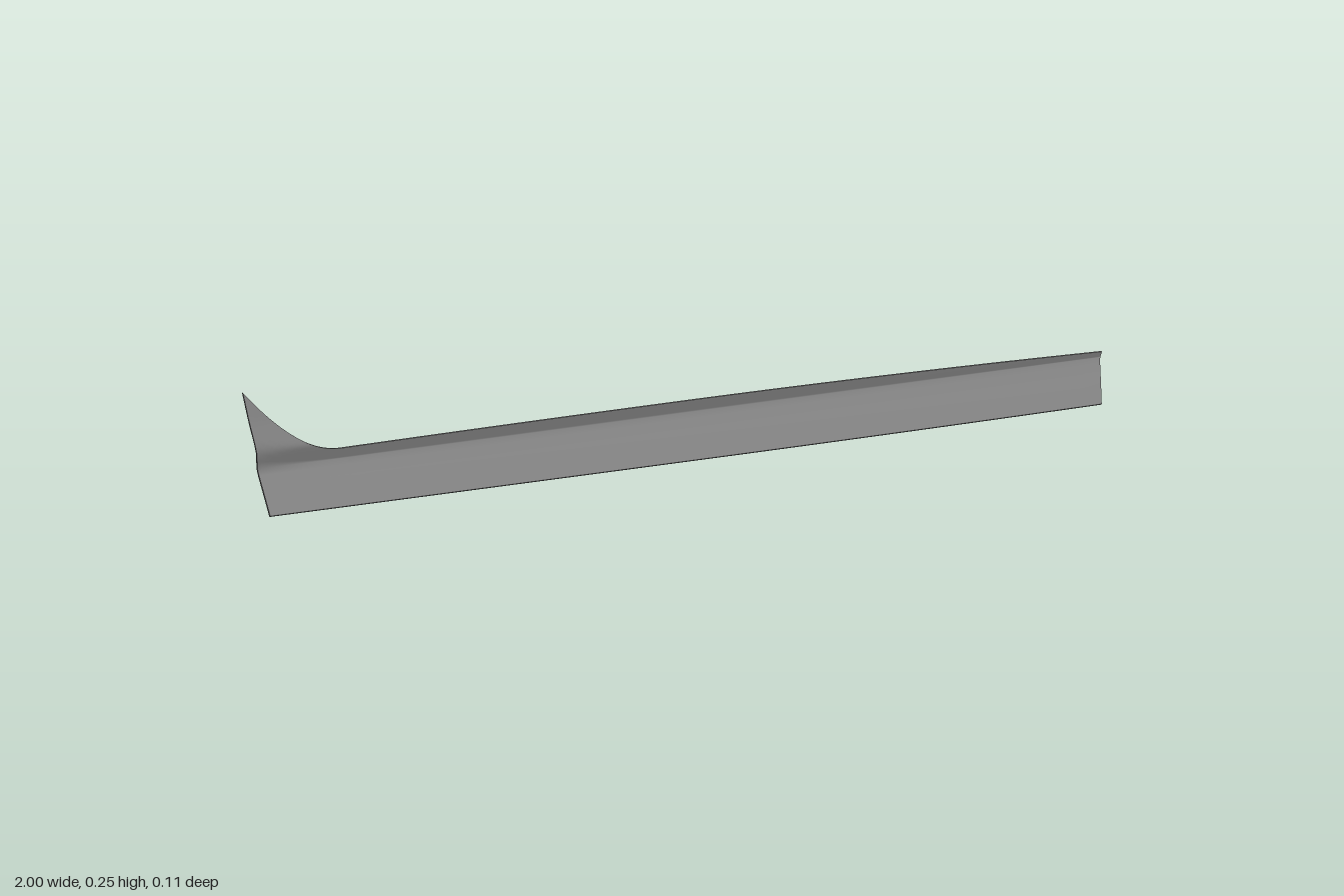
import * as THREE from 'three';

const THICK = 0.0055;
const { lerp, clamp, smoothstep } = THREE.MathUtils;

// Cross-section of the outer skin as [y, z]
const PROFILE = [
  [0, 0.0585], [0.04, 0.0285], [0.083, -0.005], [0.09, -0.0085], [0.115, -0.0055],
  [0.128, -0.004], [0.135, -0.0055], [0.19, -0.03], [0.25, -0.05],
];
function zAt(y) {
  let i = 0;
  while (i < PROFILE.length - 2 && y > PROFILE[i + 1][0]) i++;
  const [y0, z0] = PROFILE[i], [y1, z1] = PROFILE[i + 1];
  return lerp(z0, z1, (y - y0) / (y1 - y0));
}

// Outline: upswept fin at one end, gently crowned top, slanted other end
const topY = (x) => 0.117 - (x > 0 ? 0.015 : 0.006) * x * x
  + 0.139 * clamp((-0.8 - x) / 0.2, 0, 1) ** 2;
const bottomY = (x) => 0.003 + 0.003 * Math.max(x, 0) ** 2;
const leftX = (y) => -0.985 - 0.015 * clamp((y - 0.09) / 0.16, 0, 1);
const rightX = (y) => 0.967 + 0.3 * Math.min(y, 0.102);

const LOWER = [0, 0.03, 0.06, 0.078, 0.09];
const UPPER = 9, COLS = 64;

function pointAt(i, j) {
  // Columns crowd toward the fin
  const x = i <= 24 ? -1 + 0.22 * i / 24 : lerp(-0.78, 1, (i - 24) / (COLS - 24));
  const last = LOWER.length - 1;
  const y = j === 0 ? bottomY(x)
    : j <= last ? LOWER[j]
    : lerp(LOWER[last], topY(x), (j - last) / UPPER);
  return new THREE.Vector3(
    lerp(leftX(y), rightX(y), (x + 1) / 2), y, zAt(y) - 0.002 * x * x);
}

// Matching inner point; the sloping lower panel is offset square to its face
function back(p) {
  const slope = 1 - smoothstep(p.y, 0.075, 0.1);
  return new THREE.Vector3(p.x, p.y - 0.55 * THICK * slope, p.z - THICK * (1 - 0.17 * slope));
}

function toGeometry(points, index) {
  const g = new THREE.BufferGeometry().setFromPoints(points);
  g.setIndex(index);
  g.computeVertexNormals();
  return g;
}

export function createModel() {
  const group = new THREE.Group();
  group.name = 'sideSkirt';
  const material = new THREE.MeshStandardMaterial({ color: 0x848484 });
  const rows = LOWER.length + UPPER;
  const add = (name, geometry) => {
    const mesh = new THREE.Mesh(geometry, material);
    mesh.name = name;
    group.add(mesh);
  };

  // Outer and inner skins
  const front = [], frontIndex = [], backIndex = [];
  for (let i = 0; i <= COLS; i++) {
    for (let j = 0; j < rows; j++) {
      front.push(pointAt(i, j));
      if (i === COLS || j === rows - 1) continue;
      const a = i * rows + j, b = a + rows;
      frontIndex.push(a, b, b + 1, a, b + 1, a + 1);
      backIndex.push(a, b + 1, b, a, a + 1, b + 1);
    }
  }
  add('outerSkin', toGeometry(front, frontIndex));
  add('innerSkin', toGeometry(front.map(back), backIndex));

  // Thin edge closing the two skins all the way round
  const loop = [];
  for (let i = 0; i < COLS; i++) loop.push(pointAt(i, 0));
  for (let j = 0; j < rows - 1; j++) loop.push(pointAt(COLS, j));
  for (let i = COLS; i > 0; i--) loop.push(pointAt(i, rows - 1));
  for (let j = rows - 1; j > 0; j--) loop.push(pointAt(0, j));
  const rim = [], rimIndex = [];
  loop.forEach((p, k) => {
    const q = loop[(k + 1) % loop.length], n = rim.length;
    rim.push(p, back(p), back(q), q);
    rimIndex.push(n, n + 1, n + 2, n, n + 2, n + 3);
  });
  add('rim', toGeometry(rim, rimIndex));
  return group;
}
